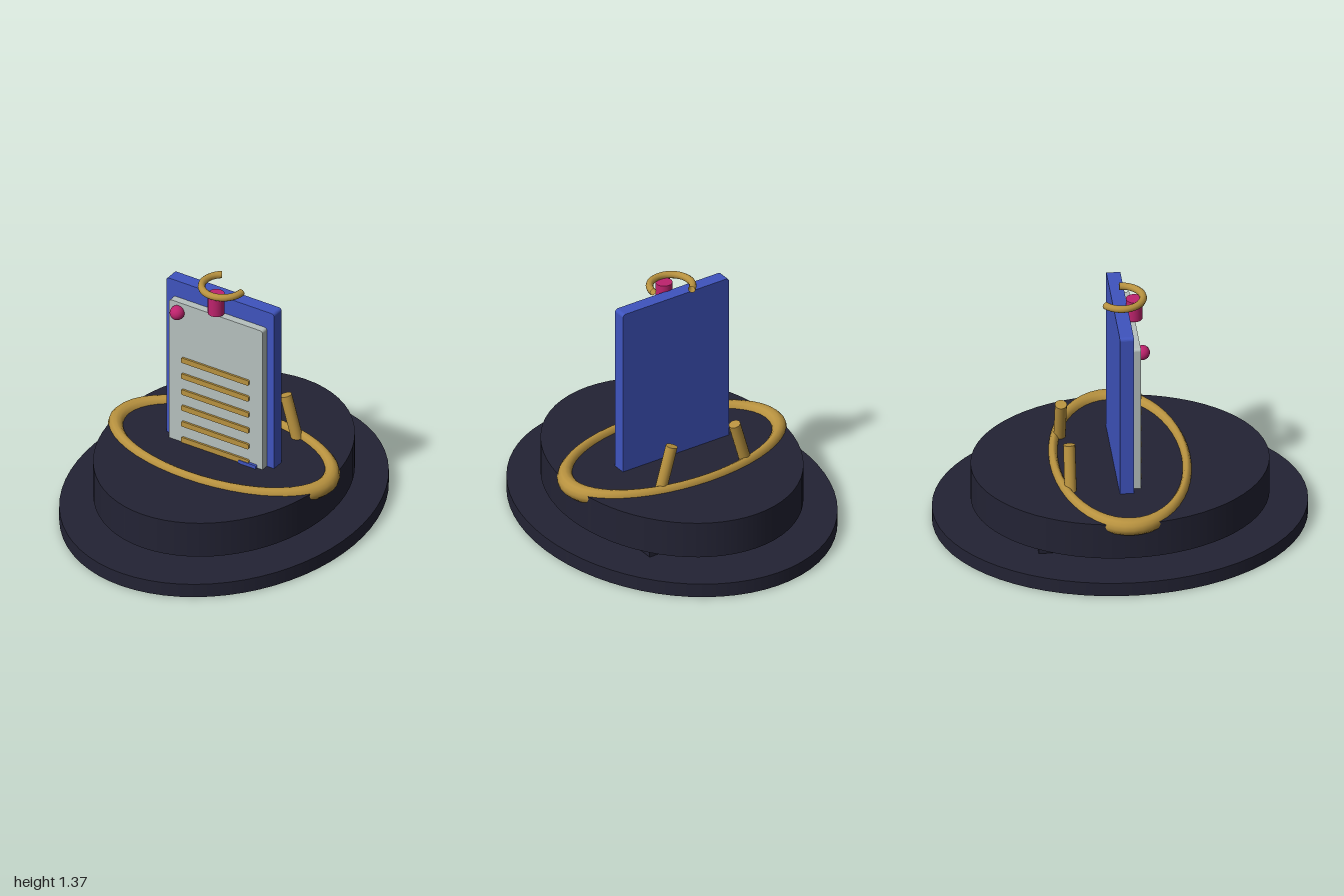
import * as THREE from 'three';

const mat = (name, color) => {
  const m = new THREE.MeshStandardMaterial({ color });
  m.name = name;
  return m;
};

export function createModel() {
  const root = new THREE.Group();
  root.name = 'tabletStand';
  const navy = mat('dark navy', 0x232334);
  const gold = mat('gold', 0xb8923f);
  const blue = mat('royal blue', 0x3f54be);
  const grey = mat('pale grey', 0xb6c0be);
  const pink = mat('magenta', 0xbe236d);
  gold.side = THREE.DoubleSide; // the crown arc has open ends

  const add = (name, geo, material, x, y, z) => {
    const mesh = new THREE.Mesh(geo, material);
    mesh.name = name;
    mesh.position.set(x, y, z);
    root.add(mesh);
    return mesh;
  };

  // Box with rounded corners in the x-y plane, centred on the origin
  const slab = (w, h, d, r) => {
    const a = w / 2, b = h / 2, s = new THREE.Shape();
    s.absarc(a - r, b - r, r, 0, Math.PI / 2);
    s.absarc(-a + r, b - r, r, Math.PI / 2, Math.PI);
    s.absarc(-a + r, -b + r, r, Math.PI, Math.PI * 1.5);
    s.absarc(a - r, -b + r, r, Math.PI * 1.5, Math.PI * 2);
    return new THREE.ExtrudeGeometry(s, { depth: d, bevelEnabled: false, curveSegments: 4 })
      .translate(0, 0, -d / 2);
  };

  // Oval plinth in two floating tiers
  const disc = (rx, h, rz) => new THREE.CylinderGeometry(1, 1, h, 64).scale(rx, 1, rz);
  add('basePlate', disc(0.816, 0.08, 1), navy, 0, 0.04, 0);
  add('upperPlinth', disc(0.648, 0.21, 0.795), navy, 0, 0.235, 0);

  // Oval ring sunk into the plinth top
  const ring = new THREE.TorusGeometry(0.645, 0.047, 12, 48).rotateX(Math.PI / 2).scale(1, 1, 0.545);
  add('ovalRing', ring, gold, 0, 0.325, 0);

  // Upright board and its front sheet
  add('backBoard', slab(0.68, 1.195, 0.075, 0.018), blue, 0, 0.7125, 0);
  add('frontSheet', slab(0.59, 0.95, 0.045, 0.015), grey, 0, 0.735, 0.0575);

  // Raised lines on the sheet
  for (let i = 0; i < 6; i++) {
    add('sheetLine', slab(0.426, 0.032, 0.02, 0.008), gold, 0, 0.36 + i * 0.1, 0.081);
  }
  add('lowerTab', slab(0.11, 0.06, 0.02, 0.008), blue, 0.205, 0.33, 0.085);
  add('cornerKnob', new THREE.SphereGeometry(0.04, 20, 14), pink, -0.235, 1.153, 0.094);

  // Clip post carrying an open hoop
  add('clipPost', new THREE.CylinderGeometry(0.045, 0.045, 0.12, 24), pink, 0, 1.285, 0.076);
  const hoop = new THREE.TorusGeometry(0.115, 0.02, 10, 32, Math.PI * 1.3).rotateX(Math.PI / 2);
  add('clipHoop', hoop, gold, 0, 1.355, 0.008);

  // Leaning rear struts and their foot pads
  for (const side of [-1, 1]) {
    const strut = add('rearStrut', new THREE.CylinderGeometry(0.032, 0.032, 0.51, 16), gold,
      side * 0.272, 0.335, -0.293);
    strut.rotation.z = side * 0.28;
    add('footPad', slab(0.24, 0.045, 0.15, 0.015), navy, side * 0.355, 0.095, -0.41);
  }
  return root;
}
